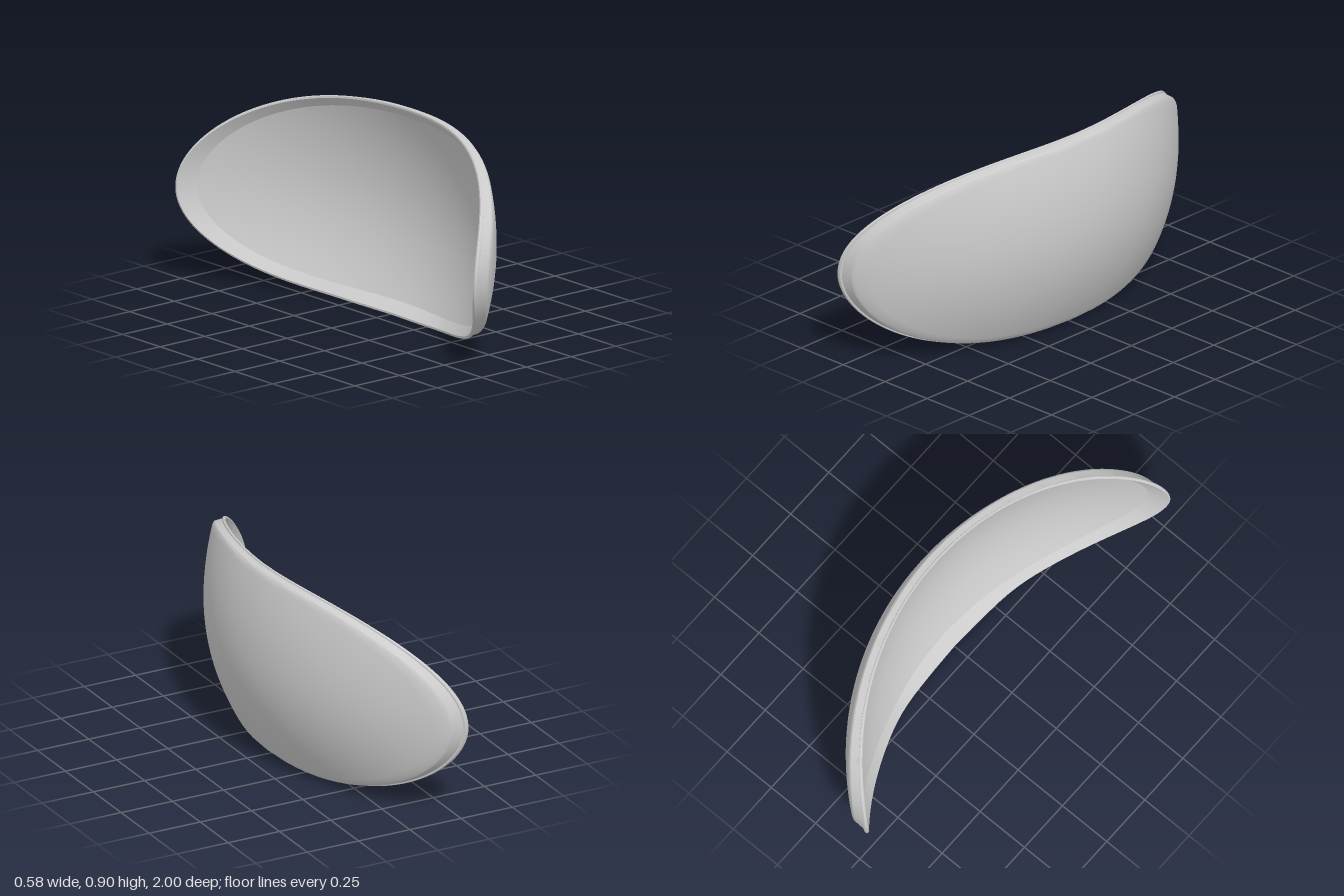
import * as THREE from 'three';
import { toCreasedNormals } from 'three/addons/utils/BufferGeometryUtils.js';

const SEG = 144;      // points around the outline
const STEPS = 24;     // rings from the middle to the edge
const MID_Y = 0.43;   // height of the two tips
const R = 1.2576;     // sideways bend radius

// Front surface of the curved shield, bulging toward +x
function surfaceX(y, z) {
  const dy = y - 0.5;
  return 0.289 - (dy > 0 ? 0.47 : 0.59) * dy * dy - (R - Math.sqrt(R * R - z * z));
}

// Point of the outline (flat along the middle, elliptical at the tips),
// inset by a distance and scaled toward the middle
function outline(t, inset, scale = 1) {
  const c = Math.cos(t), s = Math.sin(t);
  const power = s > 0 ? 2 / 2.8 : 2 / 3.2;
  const half = (s > 0 ? 0.47 : 0.43) - inset;
  const z = Math.sign(c) * Math.abs(c) ** power * (1 - inset);
  return { y: MID_Y + s * half * scale, z: z * scale };
}

// Depth of the side wall: deep at the tips, with a small drop at bottom centre
function wallDepth(t) {
  const c = Math.cos(t);
  const drop = Math.sin(t) < 0 ? 0.027 * Math.exp(-((c / 0.15) ** 2)) : 0;
  return 0.046 + 0.044 * c * c + drop;
}

// Ring on the front surface, or parallel to it at a given thickness
const skinRing = (inset, scale, thickness) => (t) => {
  const { y, z } = outline(t, inset, scale);
  return [surfaceX(y, z) - (thickness * R) / Math.sqrt(R * R - z * z), y, z];
};

// Ring of the rim, measured back from the edge of the front surface
const rimRing = (inset, depth) => (t) => {
  const { y, z } = outline(t, inset);
  const e = outline(t, 0.009);
  return [surfaceX(e.y, e.z) - depth * wallDepth(t), y, z];
};

// Join successive rings into a closed band
function loft(name, rings, crease) {
  const pos = [], index = [];
  rings.forEach((ring) => {
    for (let i = 0; i < SEG; i++) pos.push(...ring((i / SEG) * Math.PI * 2));
  });
  for (let r = 0; r < rings.length - 1; r++) {
    for (let i = 0; i < SEG; i++) {
      const j = (i + 1) % SEG;
      const a = r * SEG + i, b = r * SEG + j, c = a + SEG, d = b + SEG;
      index.push(a, b, c, b, d, c);
    }
  }
  const geo = new THREE.BufferGeometry();
  geo.setAttribute('position', new THREE.Float32BufferAttribute(pos, 3));
  geo.setIndex(index);
  const mesh = new THREE.Mesh(
    toCreasedNormals(geo, crease),
    new THREE.MeshStandardMaterial({ color: 0xcccccc, side: THREE.DoubleSide })
  );
  mesh.name = name;
  return mesh;
}

export function createModel() {
  const group = new THREE.Group();
  group.name = 'curvedShield';

  // Bulging front skin with a softly rounded edge
  const outer = [];
  for (let k = 0; k <= STEPS; k++) outer.push(skinRing(0.018, k / STEPS, 0));
  outer.push(rimRing(0.013, 0.01), rimRing(0.01, 0.06), rimRing(0.009, 0.15));
  group.add(loft('outerShell', outer, 0.9));

  // Side wall, slightly raised lip and the bevel leading to the hollow
  group.add(loft('rim', [
    rimRing(0.009, 0.15),
    rimRing(0.007, 0.74),
    rimRing(0.001, 0.8),
    rimRing(0, 0.86),
    rimRing(0, 0.95),
    rimRing(0.003, 1.0),
    rimRing(0.011, 1.0),
    skinRing(0.048, 1, 0.034),
  ], 0.6));

  // Hollow back skin
  const inner = [];
  for (let k = STEPS; k >= 0; k--) inner.push(skinRing(0.048, k / STEPS, 0.034));
  group.add(loft('innerShell', inner, 0.9));

  return group;
}
